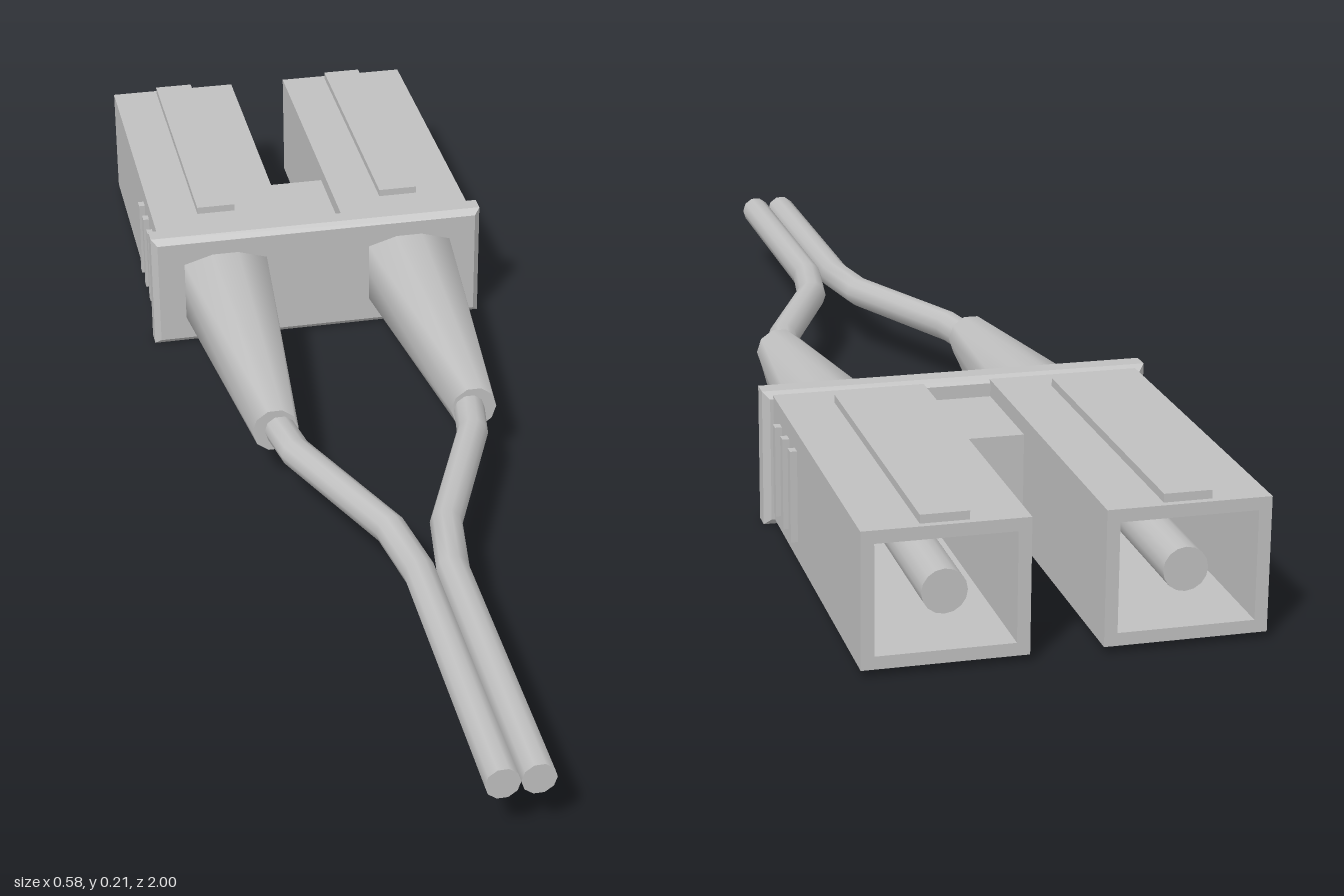
import * as THREE from 'three';

const grey = new THREE.MeshStandardMaterial({ color: 0xc0c0c0 });
grey.name = 'plain grey';

const SIDES = 10;
const AXIS_X = 0.1625, AXIS_Y = 0.1025;

function add(parent, name, geometry, x = 0, y = 0, z = 0) {
  const mesh = new THREE.Mesh(geometry, grey);
  mesh.name = name;
  mesh.position.set(x, y, z);
  parent.add(mesh);
  return mesh;
}

// Box given by its lower and upper corners
function addBox(parent, name, [x0, y0, z0], [x1, y1, z1]) {
  return add(parent, name, new THREE.BoxGeometry(x1 - x0, y1 - y0, z1 - z0),
    (x0 + x1) / 2, (y0 + y1) / 2, (z0 + z1) / 2);
}

function ringPoints(radius) {
  return Array.from({ length: SIDES }, (_, j) => {
    const a = (j / SIDES) * Math.PI * 2;
    return [Math.cos(a) * radius, Math.sin(a) * radius];
  });
}

// Smooth skin through rings running towards +z, with a flat cap on the last ring
function loft(rings) {
  const n = rings[0].length;
  const pos = rings.flat(2);
  const index = [];
  for (let i = 0; i < rings.length - 1; i++) {
    for (let j = 0; j < n; j++) {
      const a = i * n + j, b = i * n + (j + 1) % n;
      index.push(a, b, a + n, b, b + n, a + n);
    }
  }
  const cap = pos.length / 3;
  pos.push(...rings[rings.length - 1].flat());
  for (let j = 1; j < n - 1; j++) index.push(cap, cap + j, cap + j + 1);
  const g = new THREE.BufferGeometry();
  g.setAttribute('position', new THREE.Float32BufferAttribute(pos, 3));
  g.setIndex(index);
  g.computeVertexNormals();
  return g;
}

function rectangle(x0, y0, x1, y1, Type = THREE.Shape) {
  return new Type([[x0, y0], [x1, y0], [x1, y1], [x0, y1]].map(p => new THREE.Vector2(...p)));
}

// Strain relief boot: squarish base tapering to a round tip
function bootGeometry() {
  const w = 0.0725, h = 0.0525, t = 0.0225, p = 0.0675;
  const base = [[w, 0], [w, h], [t, p], [-t, p], [-w, h], [-w, 0], [-w, -h], [-t, -p], [t, -p], [w, -h]];
  return loft([
    base.map(([x, y]) => [x, y, -0.4]),
    ringPoints(0.0375).map(([x, y]) => [x, y, 0.08]),
  ]);
}

// Cable: rings mitred at each bend of a flat path
function cableGeometry(side) {
  const path = [[0.157, 0.03], [0.155, 0.08], [0.143, 0.15], [0.043, 0.39], [0.025, 0.51], [0.025, 1]]
    .map(([x, z]) => new THREE.Vector2(x * side, z));
  const circle = ringPoints(0.025);
  return loft(path.map((p, i) => {
    const before = p.clone().sub(path[Math.max(i - 1, 0)]).normalize();
    const after = path[Math.min(i + 1, path.length - 1)].clone().sub(p).normalize();
    const dir = i === path.length - 1 ? new THREE.Vector2(0, 1) : before.add(after).normalize();
    return circle.map(([u, v]) => [p.x + u * dir.y, AXIS_Y + v, p.y - u * dir.x]);
  }));
}

function createPlug(side) {
  const plug = new THREE.Group();
  plug.name = side > 0 ? 'leftPlug' : 'rightPlug';

  // Hollow housing, open at the back
  const outline = rectangle(-0.1125, 0.01, 0.1125, 0.2);
  outline.holes.push(rectangle(-0.0945, 0.028, 0.0945, 0.182, THREE.Path));
  add(plug, 'housing', new THREE.ExtrudeGeometry(outline, { depth: 0.57, bevelEnabled: false }),
    side * AXIS_X, 0, -1);
  const cx = side * AXIS_X;
  addBox(plug, 'housingCore', [cx - 0.1, 0.02, -0.55], [cx + 0.1, 0.19, -0.43]);

  // Ferrule inside the housing
  const ferrule = new THREE.CylinderGeometry(0.031, 0.031, 0.44, 16).rotateX(Math.PI / 2);
  add(plug, 'ferrule', ferrule, cx, 0.105, -0.77);

  // Key rail on top
  addBox(plug, 'keyRail', [cx - 0.033, 0.195, -0.99], [cx + 0.033, 0.212, -0.49]);

  // Grip ribs on the outer side
  for (const z of [-0.6, -0.547, -0.494]) {
    add(plug, 'gripRib', new THREE.BoxGeometry(0.02, 0.135, 0.016), side * 0.275, 0.105, z);
  }

  add(plug, 'boot', bootGeometry(), cx, AXIS_Y, 0);
  add(plug, 'cable', cableGeometry(side));
  return plug;
}

export function createModel() {
  const model = new THREE.Group();
  model.name = 'duplexCableConnector';
  for (const side of [1, -1]) model.add(createPlug(side));

  // Chamfered flange and the bridge joining both housings
  const flange = new THREE.ExtrudeGeometry(rectangle(-0.28, 0.01, 0.28, 0.195), {
    depth: 0.028, bevelEnabled: true, bevelThickness: 0.01, bevelSize: 0.01, bevelSegments: 1,
  });
  add(model, 'flange', flange, 0, 0, -0.432);
  addBox(model, 'bridge', [-0.055, 0.03, -0.62], [0.055, 0.175, -0.43]);
  return model;
}
